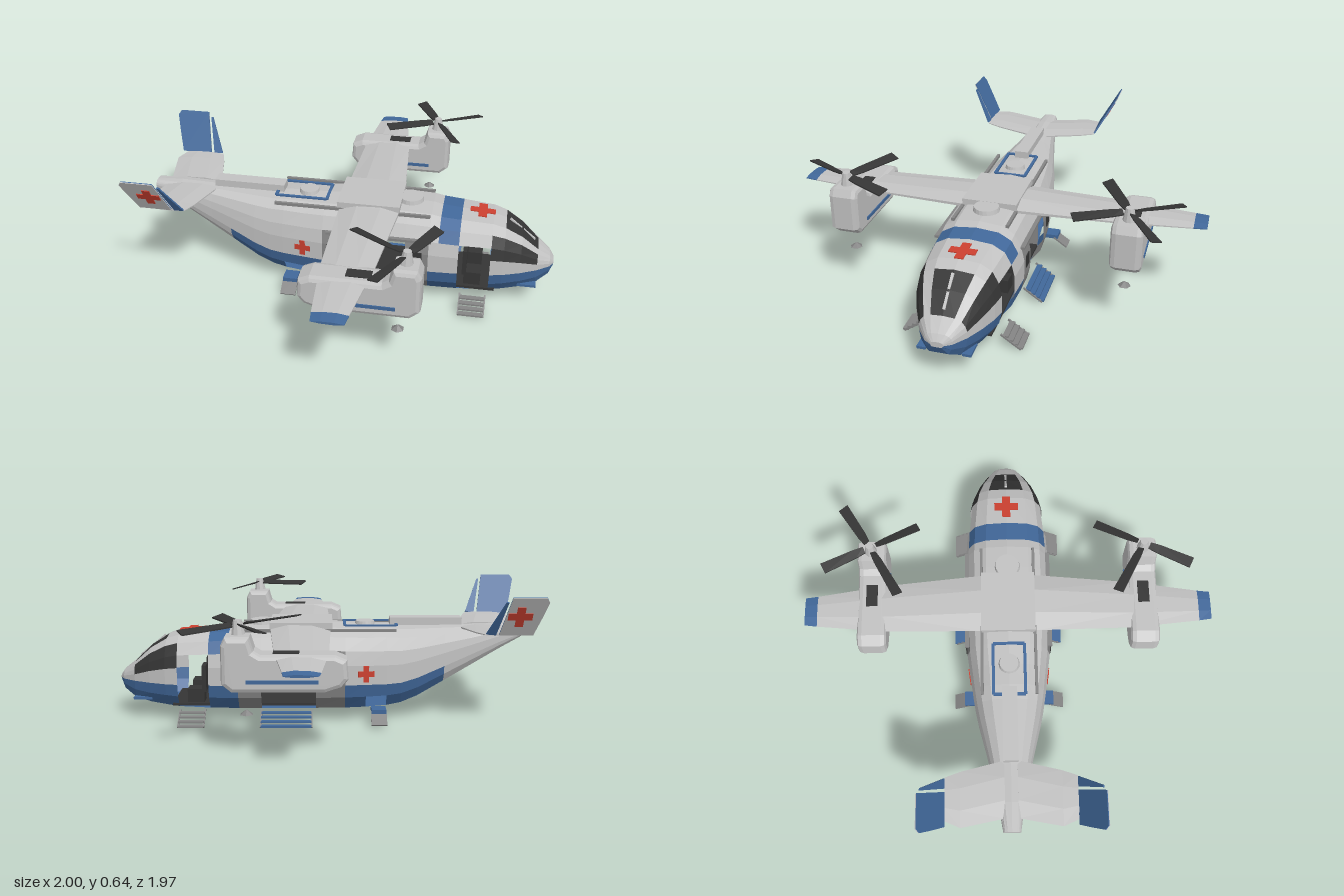
import * as THREE from 'three';

const paint = (name, color) => {
  const m = new THREE.MeshStandardMaterial({ color, side: THREE.DoubleSide, flatShading: true });
  m.name = name;
  return m;
};
const light = paint('light grey', 0xc2c2c2);
const grey = paint('mid grey', 0x858585);
const dark = paint('dark grey', 0x353535);
const blue = paint('blue', 0x41689a);
const red = paint('red', 0xcc4030);

function add(parent, name, geo, mat, x = 0, y = 0, z = 0) {
  const m = new THREE.Mesh(geo, mat);
  m.name = name;
  m.position.set(x, y, z);
  parent.add(m);
  return m;
}
const box = (parent, name, mat, w, h, d, x, y, z) =>
  add(parent, name, new THREE.BoxGeometry(w, h, d), mat, x, y, z);

// Skin between closed rings; pick(i, j) gives the colour of a cell, or null for an opening
function loft(parent, name, rings, pick) {
  const byMat = new Map();
  const tri = (mat, ...pts) => {
    if (!byMat.has(mat)) byMat.set(mat, []);
    pts.forEach(p => byMat.get(mat).push(...p));
  };
  const n = rings[0].length, last = rings.length - 1;
  for (let i = 0; i < last; i++) for (let j = 0; j < n; j++) {
    const mat = pick(i, j), k = (j + 1) % n;
    if (!mat) continue;
    const a = rings[i][j], b = rings[i][k], c = rings[i + 1][k], d = rings[i + 1][j];
    tri(mat, a, b, c);
    tri(mat, a, c, d);
  }
  for (const [r, mat] of [[rings[0], pick(0, 4)], [rings[last], pick(last - 1, 4)]])
    for (let j = 1; j < n - 1; j++) tri(mat || light, r[0], r[j], r[j + 1]);
  for (const [mat, pos] of byMat) {
    const g = new THREE.BufferGeometry();
    g.setAttribute('position', new THREE.Float32BufferAttribute(pos, 3));
    g.computeVertexNormals();
    add(parent, name, g, mat);
  }
}

function outline(points) {
  return new THREE.Shape(points.map(p => new THREE.Vector2(...p)));
}
function cross(parent, size) {
  const g = new THREE.Group();
  g.name = 'redCross';
  box(g, 'crossBar', red, size, size * 0.34, 0.004, 0, 0, 0);
  box(g, 'crossPost', red, size * 0.34, size, 0.0045, 0, 0, 0);
  parent.add(g);
  return g;
}

// Hull stations: x, bottom, top, half width
const stations = [
  [-0.98, 0.40, 0.445, 0.04], [-0.85, 0.33, 0.45, 0.06], [-0.68, 0.235, 0.445, 0.095],
  [-0.58, 0.18, 0.445, 0.118], [-0.45, 0.11, 0.445, 0.15], [-0.37, 0.08, 0.445, 0.166],
  [-0.3, 0.068, 0.45, 0.177], [-0.2, 0.062, 0.45, 0.19], [-0.1, 0.06, 0.455, 0.203],
  [0.04, 0.06, 0.46, 0.21], [0.3, 0.06, 0.455, 0.21], [0.41, 0.06, 0.45, 0.21],
  [0.455, 0.06, 0.44, 0.208], [0.55, 0.06, 0.432, 0.203], [0.7, 0.065, 0.42, 0.188],
  [0.76, 0.072, 0.4, 0.175], [0.84, 0.08, 0.35, 0.145], [0.92, 0.095, 0.275, 0.105],
  [0.98, 0.135, 0.228, 0.06], [1.0, 0.175, 0.2, 0.028],
];
function hullRing([x, b, t, w]) {
  const wl = Math.max(0.185, b + 0.3 * (t - b)), up = f => wl + f * (t - wl);
  const half = [[0, b], [0.7 * w, b], [0.93 * w, (b + wl) / 2], [w, wl], [w, up(0.35)],
    [0.93 * w, up(0.6)], [0.78 * w, up(0.83)], [0.5 * w, up(0.96)], [0, t]];
  return [...half, ...half.slice(1, -1).reverse().map(([z, y]) => [-z, y])].map(([z, y]) => [x, y, z]);
}
function hullColour(i, j) {
  const row = j < 8 ? j : 15 - j;
  const x = (stations[i][0] + stations[i + 1][0]) / 2;
  const side = row >= 1 && row <= 4;
  if (x > 0.04 && x < 0.3 && side) return null;              // cabin doorway
  if (x > 0.55 && x < 0.7 && side) return null;              // crew doorway
  if (x > -0.3 && x < -0.2 && row === 1) return null;        // wheel well
  if (x > -0.1 && x < 0.04 && side) return grey;             // sliding door
  if (x > 0.3 && x < 0.41 && side) return grey;
  if (x > 0.455 && x < 0.55 && row >= 5) return blue;        // roof band
  if (x > 0.76 && x < 0.92 && row >= 4 && row !== 6) return dark; // cockpit glass
  if (x > 0.7 && x < 0.84 && row >= 4 && row <= 5) return dark;
  return row < 3 && x > -0.58 ? blue : light;
}

// Wing-like section: chord from x0 to x1, at y, thickness t, span position z
const foil = (z, x0, x1, y, t) => [[0, 0], [0.3, 0.42], [0.7, 0.5], [1, 0.12], [1, -0.12], [0.7, -0.5], [0.3, -0.42]]
  .map(([u, v]) => [x0 + u * (x1 - x0), y + v * t, z]);

function rotor(blades) {
  const g = new THREE.Group();
  g.name = 'rotor';
  add(g, 'rotorHub', new THREE.CylinderGeometry(0.018, 0.03, 0.06, 10), light, 0, -0.012, 0);
  for (const [x, z] of blades) {
    const arm = new THREE.Group();
    arm.name = 'rotorBlade';
    const len = Math.hypot(x, z);
    loft(arm, 'blade', [[0.03, 0.014], [0.08, 0.02], [len, 0.025]].map(([r, w]) =>
      [[r, 0.009, -w], [r, -0.003, w], [r, -0.009, w], [r, 0.003, -w], [r, 0.005, -w]]), () => dark);
    arm.rotation.y = -Math.atan2(z, x);
    g.add(arm);
  }
  g.rotation.z = -0.05;
  return g;
}

// Everything that exists on both sides, made for +z
function sideParts(blades) {
  const g = new THREE.Group();
  // Wing with painted tip
  loft(g, 'wing', [foil(0, -0.03, 0.26, 0.442, 0.06), foil(0.14, -0.03, 0.255, 0.437, 0.055),
    foil(0.6, -0.02, 0.215, 0.428, 0.035), foil(0.925, 0.012, 0.167, 0.423, 0.018),
    foil(0.985, 0.02, 0.16, 0.423, 0.012)], i => (i === 3 ? blue : light));

  // Engine nacelle with upright front
  const body = new THREE.ExtrudeGeometry(outline([[-0.08, 0.35], [-0.075, 0.41], [-0.04, 0.425], [0.27, 0.425],
    [0.31, 0.45], [0.325, 0.5], [0.4, 0.5], [0.41, 0.48], [0.41, 0.33], [0.38, 0.305], [0, 0.305], [-0.06, 0.325]]),
    { depth: 0.09, bevelSize: 0.02, bevelThickness: 0.025, bevelSegments: 2 });
  add(g, 'nacelle', body, light, 0, 0, 0.615);
  box(g, 'nacelleVent', dark, 0.11, 0.006, 0.055, 0.16, 0.446, 0.66);
  for (const z of [0.588, 0.732]) box(g, 'nacelleStripe', blue, 0.3, 0.016, 0.006, 0.175, 0.335, z);
  add(g, 'sensor', new THREE.ConeGeometry(0.03, 0.022, 6), grey, 0.33, 0.188, 0.655);
  const r = rotor(blades);
  r.position.set(0.36, 0.567, 0.66);
  g.add(r);

  // Tailplane and canted fin
  loft(g, 'tailplane', [foil(0.03, -0.92, -0.66, 0.435, 0.03), foil(0.23, -0.96, -0.71, 0.445, 0.022),
    foil(0.3, -0.93, -0.735, 0.45, 0.014)], () => light);
  const fin = new THREE.Group();
  fin.name = 'tailFin';
  const main = outline([[-0.955, 0], [-0.8, 0], [-0.835, 0.215], [-0.985, 0.215], [-1, 0.19], [-0.98, 0.1]]);
  const lead = outline([[-0.785, 0], [-0.74, 0.005], [-0.81, 0.19], [-0.82, 0.19]]);
  const thin = { depth: 0.004, bevelEnabled: false };
  add(fin, 'finOuterFace', new THREE.ExtrudeGeometry(main, thin), light);
  add(fin, 'finInnerFace', new THREE.ExtrudeGeometry(main, thin), blue, 0, 0, -0.004);
  add(fin, 'finLeadingEdge', new THREE.ExtrudeGeometry(lead, { depth: 0.008, bevelEnabled: false }), blue, 0, 0, -0.004);
  cross(fin, 0.11).position.set(-0.88, 0.11, 0.006);
  fin.position.set(0, 0.45, 0.302);
  fin.rotation.x = 0.52;
  g.add(fin);

  // Side cross and door window
  const c = cross(g, 0.078);
  c.position.set(-0.2, 0.238, 0.193);
  c.rotation.y = -0.13;
  box(g, 'doorWindow', dark, 0.05, 0.055, 0.006, -0.05, 0.255, 0.208).rotation.y = -0.05;
  box(g, 'pillarWindow', dark, 0.05, 0.06, 0.006, 0.355, 0.255, 0.21);

  // Folding steps
  for (const [x, w, mat, n] of [[0.18, 0.24, blue, 4], [0.63, 0.12, grey, 4]]) {
    for (let i = 0; i < n; i++) box(g, 'stepTread', mat, w, 0.008, 0.026, x, 0.052 - i * 0.016, 0.2 + i * 0.022);
    for (const s of [-1, 1])
      box(g, 'stepRail', grey, 0.008, 0.008, 0.11, x + s * w / 2, 0.03, 0.225).rotation.x = 0.6;
  }
  // Main gear door
  box(g, 'gearDoorHinge', blue, 0.07, 0.02, 0.07, -0.26, 0.062, 0.19);
  box(g, 'gearDoor', grey, 0.075, 0.008, 0.085, -0.26, 0.034, 0.24).rotation.x = 0.6;

  // Roof rails and trim
  box(g, 'roofRail', grey, 0.75, 0.014, 0.014, 0.03, 0.437, 0.128);
  box(g, 'roofTrim', blue, 0.25, 0.008, 0.014, -0.225, 0.452, 0.075);
  box(g, 'sideLedge', grey, 0.5, 0.012, 0.02, 0.17, 0.345, 0.203);

  // Cabin seats, cockpit seat and nose blade
  for (const x of [0.36, 0.62]) {
    box(g, 'seatBase', dark, 0.08, 0.07, 0.08, x, 0.115, 0.09);
    box(g, 'seatBack', dark, 0.02, 0.13, 0.08, x - 0.04, 0.2, 0.09);
  }
  box(g, 'noseFin', blue, 0.09, 0.012, 0.04, 0.88, 0.1, 0.1);
  return g;
}

export function createModel() {
  const model = new THREE.Group();
  model.name = 'tiltrotorAmbulance';
  loft(model, 'fuselage', stations.map(hullRing), hullColour);

  // Cabin floor and rear bulkhead
  box(model, 'cabinFloor', dark, 0.82, 0.012, 0.3, 0.32, 0.078, 0);
  box(model, 'rearBulkhead', grey, 0.01, 0.33, 0.3, -0.09, 0.24, 0);

  // Roof details
  box(model, 'tailSpine', light, 0.35, 0.035, 0.07, -0.495, 0.465, 0);
  box(model, 'wingFairing', light, 0.3, 0.03, 0.26, 0.11, 0.458, 0);
  add(model, 'roofHatch', new THREE.CylinderGeometry(0.058, 0.062, 0.02, 20), light, 0.3, 0.462, 0);
  add(model, 'rearHatch', new THREE.CylinderGeometry(0.045, 0.05, 0.02, 20), light, -0.2, 0.455, 0);
  for (const x of [-0.35, -0.1]) box(model, 'roofTrimEnd', blue, 0.014, 0.008, 0.15, x, 0.452, 0);
  const roofCross = cross(model, 0.12);
  roofCross.position.set(0.645, 0.427, 0);
  roofCross.rotation.set(-Math.PI / 2, 0.07, 0);
  box(model, 'windscreenPost', light, 0.16, 0.008, 0.012, 0.84, 0.344, 0).rotation.z = -0.68;

  // Left and right sides
  const blades = [[-0.11, 0.22], [0.11, -0.23], [-0.25, -0.14], [0.22, 0.14]];
  const near = sideParts(blades.slice(0, 3));
  near.name = 'rightSide';
  const far = sideParts(blades);
  far.name = 'leftSide';
  far.scale.z = -1;
  model.add(near, far);
  return model;
}
